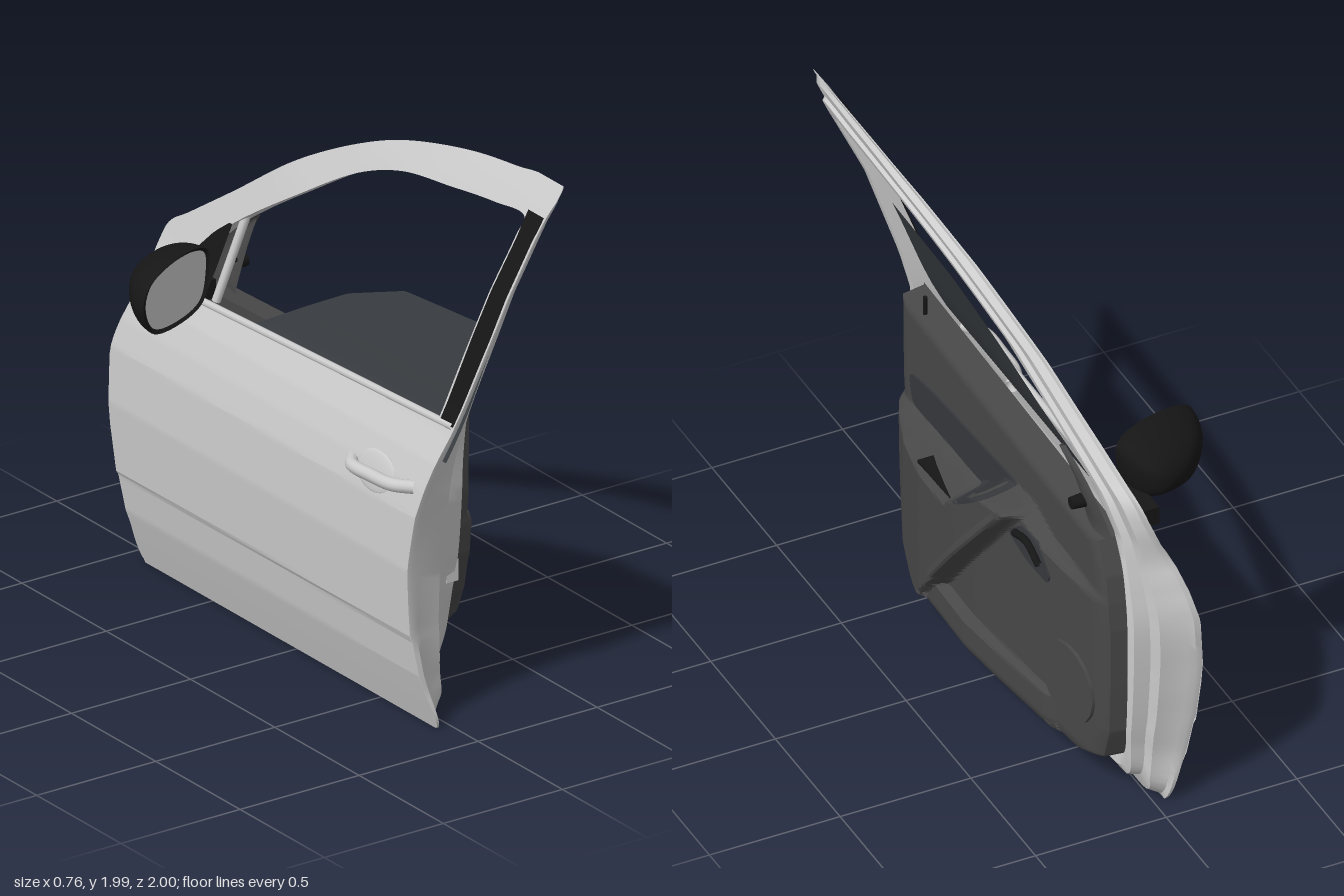
import * as THREE from 'three';
import { toCreasedNormals } from 'three/addons/utils/BufferGeometryUtils.js';

const GREY = 0xcccccc, TRIM = 0x484848, TRIM_DARK = 0x36383c, BLACK = 0x161616, GLASS = 0x383c40;

// Rim of the door as pairs: outer edge (z, y), then inner edge (z, y)
const RIM = [
  [.995, 1.985, .88, 1.85], [.73, 1.97, .7, 1.845], [.465, 1.94, .465, 1.82], [.144, 1.87, .2, 1.786],
  [-.07, 1.79, -.016, 1.71], [-.337, 1.65, -.28, 1.55], [-.6, 1.46, -.5, 1.405], [-.8, 1.32, -.62, 1.31],
  [-.89, 1.257, -.7, 1.22], [-.915, 1.18, -.77, 1.1], [-.925, 1.04, -.83, .97], [-.96, .94, -.85, .86],
  [-.995, .8, -.86, .75], [-.98, .53, -.86, .5], [-.935, .21, -.85, .3], [-.9, 0, -.81, .17],
  [-.6, 0, -.6, .1], [0, 0, 0, .1], [.4, 0, .3, .11], [.825, 0, .5, .2], [.81, .15, .6, .28],
  [.785, .35, .68, .4], [.785, .59, .74, .56], [.81, .8, .765, .8], [.866, 1.1, .77, 1.1],
  [.93, 1.45, .82, 1.45], [.985, 1.86, .875, 1.79],
];

const { clamp, lerp, smoothstep } = THREE.MathUtils;
function interp(table, v) {
  if (v <= table[0][0]) return table[0][1];
  for (let i = 1; i < table.length; i++) {
    const [a, p] = table[i - 1], [b, q] = table[i];
    if (v <= b) return lerp(p, q, (v - a) / (b - a));
  }
  return table[table.length - 1][1];
}
// z of a rim edge as a function of height
function edge(first, last, col) {
  const t = RIM.slice(first, last + 1).map(r => [r[col + 1], r[col]]).sort((a, b) => a[0] - b[0]);
  return y => interp(t, y);
}
const frontOuter = edge(6, 15, 0), rearOuter = edge(19, 26, 0);
const frontInner = edge(5, 16, 2), rearInner = edge(18, 26, 2);

// x of the outer skin and of the cabin-side face
const skinX = y => interp([[0, -.05], [.1, -.08], [.2, -.108], [.33, -.125], [.345, -.133], [.6, -.145], [.8, -.13],
  [.9, -.105], [1, -.07], [1.1, -.02], [1.2, .02], [1.4, .088], [1.6, .16], [1.8, .25], [1.9, .305], [1.985, .36]], y);
const innerX = y => interp([[0, .03], [.1, .075], [.3, .09], [1.1, .092], [1.25, .125], [1.4, .17], [1.6, .23],
  [1.8, .32], [1.9, .365], [1.985, .39]], y);
const beltY = z => 1.1 + .033 * z;

function add(parent, name, geometry, color, x = 0, y = 0, z = 0) {
  const mesh = new THREE.Mesh(geometry, new THREE.MeshStandardMaterial({ color, side: THREE.DoubleSide }));
  mesh.name = name;
  mesh.position.set(x, y, z);
  parent.add(mesh);
  return mesh;
}
// Sheet from a rule f(u, v) -> [x, y, z]
function sheet(nu, nv, f, crease = .6) {
  const pos = [], idx = [];
  for (let i = 0; i <= nu; i++) for (let j = 0; j <= nv; j++) pos.push(...f(i / nu, j / nv));
  for (let i = 0; i < nu; i++) for (let j = 0; j < nv; j++) {
    const a = i * (nv + 1) + j, b = a + nv + 1;
    idx.push(a, b, a + 1, b, b + 1, a + 1);
  }
  const g = new THREE.BufferGeometry();
  g.setAttribute('position', new THREE.Float32BufferAttribute(pos, 3));
  g.setIndex(idx);
  return toCreasedNormals(g, crease);
}

// Relief of the cabin trim: armrest bulge, diagonal grip, lower pocket
function trimX(z, y) {
  const bulge = interp([[-.86, 0], [-.6, .07], [-.2, .135], [0, .16], [.3, .15], [.5, .11], [.7, .03]], z);
  const top = interp([[-.86, .84], [-.45, .86], [-.3, .91], [-.12, .89], [.1, .72], [.7, .7]], z);
  const below = 1 - smoothstep(y, top - .012, top + .025);
  const diagonal = lerp(.2, -.3, (y - .33) / .59);
  const behind = smoothstep(z, diagonal - .05, diagonal);
  const pocket = (1 - smoothstep(y, .27, .31)) * smoothstep(z, -.62, -.5) * .8;
  const h = .155 + bulge * below * Math.max(lerp(.55, 1, behind), pocket);
  const e = Math.min(z - frontInner(y), rearInner(y) - z, y - .1, (beltY(z) - y) * 2 + .02);
  const r = 1 - clamp(e / .09, 0, 1);
  return .09 + (h - .09) * (.35 + .65 * Math.sqrt(1 - r * r));
}
// Raised pad that follows the trim inside a closed outline of (z, y)
function pad(points, lift) {
  const curve = new THREE.CatmullRomCurve3(points.map(p => new THREE.Vector3(0, p[1], p[0])), true, 'catmullrom', .25);
  const c = points.reduce((s, p) => [s[0] + p[0] / points.length, s[1] + p[1] / points.length], [0, 0]);
  return sheet(64, 14, (u, v) => {
    const p = curve.getPoint(u % 1), k = Math.min(v / .93, 1);
    const z = lerp(c[0], p.z, k), y = lerp(c[1], p.y, k);
    return [trimX(z, y) + (v > .95 ? -.01 : lift), y, z];
  });
}
const ellipse = (z, y, rz, ry, n = 16) => Array.from({ length: n }, (_, i) =>
  [z + rz * Math.cos(i / n * Math.PI * 2), y + ry * Math.sin(i / n * Math.PI * 2)]);

function buildBody(door) {
  // Hollow rim: stepped section swept round the door and window opening
  const loop = c => new THREE.CatmullRomCurve3(RIM.map(r => new THREE.Vector3(0, r[c + 1], r[c])), true);
  const outer = loop(0), inner = loop(2);
  const section = [[0, 0], [0, .1], [.12, .2], [.25, .62], [.55, .7], [.62, .95], [.8, 1], [1, .95], [1, .04], [.5, .02], [0, 0]];
  add(door, 'doorFrame', sheet(RIM.length * 8, section.length - 1, (u, v) => {
    const [t, d] = section[Math.round(v * (section.length - 1))];
    const p = outer.getPoint(u % 1).lerp(inner.getPoint(u % 1), t);
    const y = clamp(p.y, 0, 1.985);
    return [lerp(skinX(y), innerX(y), d), y, clamp(p.z, -1, 1)];
  }), GREY);
  // Outer skin up to the belt line
  add(door, 'outerSkin', sheet(24, 90, (u, v) => {
    const z = lerp(frontOuter(v * 1.1), rearOuter(v * 1.1), u), y = v * beltY(z);
    return [skinX(y) - .003, y, z];
  }, .12), GREY);
  const belt = new THREE.CatmullRomCurve3([-.6, 0, .86].map(z =>
    new THREE.Vector3(skinX(beltY(z)) + .004, beltY(z), z)));
  add(door, 'beltSeal', new THREE.TubeGeometry(belt, 20, .014, 8), GREY);
  // Black cover on the rear window pillar
  add(door, 'pillarCover', sheet(4, 24, (u, v) => {
    const y = lerp(1.13, 1.88, v);
    return [skinX(y) - .005, y, lerp(rearInner(y) + .015, rearOuter(y) - .003, u)];
  }), BLACK);
  // Window pane, partly lowered
  add(door, 'windowGlass', sheet(40, 8, (u, v) => {
    const z = lerp(-.34, .87, u);
    const top = interp([[-.34, 1.08], [-.12, 1.21], [.08, 1.325], [.36, 1.43], [.9, 1.47]], z);
    const y = lerp(1, top, v);
    return [skinX(y) + .035, y, z + u * .1 * (y - 1.1)];
  }), GLASS);
  // Post between window and mirror triangle
  const post = new THREE.LineCurve3(new THREE.Vector3(skinX(1.07) + .06, 1.07, -.59), new THREE.Vector3(skinX(1.4) + .04, 1.4, -.545));
  add(door, 'windowPost', new THREE.TubeGeometry(post, 1, .016, 8), GREY);
  add(door, 'latch', new THREE.BoxGeometry(.05, .08, .04), GREY, .07, .53, .73);
}

function buildTrim(door) {
  const trim = new THREE.Group();
  trim.name = 'cabinTrim';
  door.add(trim);
  const N = 110;
  add(trim, 'trimPanel', sheet(N, N, (u, v) => {
    const row = .115 + v * .985, z = lerp(frontInner(row), rearInner(row), u);
    const y = lerp(.115, beltY(z), v);
    const rimmed = u === 0 || u === 1 || v === 0 || v === 1;
    return [rimmed ? .05 : trimX(z, y), y, z];
  }, .5), TRIM);
  add(trim, 'fabricInsert', pad([[.65, .85], [.46, .885], [.1, .91], [-.15, .925], [-.16, .89],
    [-.02, .79], [.11, .755], [.36, .75], [.62, .745]], .008), TRIM_DARK);
  add(trim, 'speaker', pad(ellipse(-.63, .4, .155, .155), .012), TRIM);
  add(trim, 'handleRecess', pad([[-.25, .8], [-.33, .87], [-.43, .86], [-.51, .77], [-.49, .735], [-.36, .75]], .006), TRIM_DARK);
  const lever = new THREE.CatmullRomCurve3([[-.3, .83], [-.38, .84], [-.46, .79]].map(([z, y]) =>
    new THREE.Vector3(trimX(z, y) + .015, y, z)));
  add(trim, 'doorLever', new THREE.TubeGeometry(lever, 12, .014, 8), BLACK);
  // Raised grip strip running down the diagonal
  add(trim, 'gripStrip', sheet(40, 6, (u, v) => {
    const y = lerp(.35, .88, u), z = lerp(.2, -.3, (y - .33) / .59) + lerp(-.03, .04, v);
    return [trimX(z, y) + .014 * Math.sin(v * Math.PI), y, z];
  }), TRIM);
  add(trim, 'switchPanel', new THREE.BoxGeometry(.09, .022, .25), BLACK, .235, .708, .23);
  add(trim, 'lockPin', new THREE.CylinderGeometry(.008, .008, .09, 10), BLACK, .12, 1.14, .62);
  // Mirror triangle: cabin side and outside
  for (const [name, color, xAt] of [
    ['innerMirrorTriangle', TRIM, (y, s) => innerX(y) + .015 + .02 * s],
    ['outerMirrorTriangle', BLACK, y => skinX(y) - .006]]) {
    add(trim, name, sheet(12, 14, (u, v) => {
      const y = lerp(1.07, 1.36, v);
      return [xAt(y, Math.sin(u * Math.PI)), y, lerp(frontInner(y) - .015, -.59 + v * .035, u)];
    }), color);
  }
  const knob = add(trim, 'mirrorKnob', new THREE.CylinderGeometry(.022, .026, .05, 16), BLACK, .165, 1.165, -.645);
  knob.rotation.z = -Math.PI / 2;
}

function buildMirror(door) {
  const mirror = new THREE.Group();
  mirror.name = 'wingMirror';
  door.add(mirror);
  const outline = new THREE.CatmullRomCurve3([[-.39, 1.19], [-.36, 1.27], [-.25, 1.315], [-.1, 1.32], [-.035, 1.29],
    [-.03, 1.2], [-.06, 1.11], [-.15, 1.075], [-.34, 1.09]].map(([x, y]) => new THREE.Vector3(x, y, 0)), true);
  const faceZ = x => -.435 - (x + .39) * .33;
  const at = (u, k, depth) => {
    const p = outline.getPoint(u % 1), x = lerp(-.17, p.x, k), y = lerp(1.2, p.y, k);
    return [x, y, faceZ(x) - depth];
  };
  add(mirror, 'mirrorHousing', sheet(48, 14, (u, v) => {
    if (v === 0) return at(u, .9, .015);
    const a = Math.max(0, v - 1 / 14) / (13 / 14) * Math.PI / 2;
    return at(u, Math.cos(a), .22 * Math.sin(a));
  }), BLACK);
  add(mirror, 'mirrorGlass', sheet(48, 2, (u, v) => at(u, v * .91, .008)), GREY);
  add(mirror, 'mirrorArm', new THREE.BoxGeometry(.12, .07, .17), BLACK, -.025, 1.11, -.69);
}

function buildOuterHandle(door) {
  const handle = new THREE.Group();
  handle.name = 'outerHandle';
  door.add(handle);
  const path = new THREE.CatmullRomCurve3([[-.1, .4], [-.145, .46], [-.152, .58], [-.145, .7], [-.1, .77]].map(([x, z]) =>
    new THREE.Vector3(x, .885 + (z - .58) * .05, z)));
  add(handle, 'handleBar', new THREE.TubeGeometry(path, 32, .024, 12), GREY);
  const bowl = add(handle, 'handleBowl', new THREE.SphereGeometry(1, 32, 16), GREY, skinX(.88), .88, .55);
  bowl.scale.set(.012, .075, .11);
  bowl.rotation.z = -.25;
}

export function createModel() {
  const door = new THREE.Group();
  door.name = 'carDoor';
  buildBody(door);
  buildTrim(door);
  buildMirror(door);
  buildOuterHandle(door);
  return door;
}
